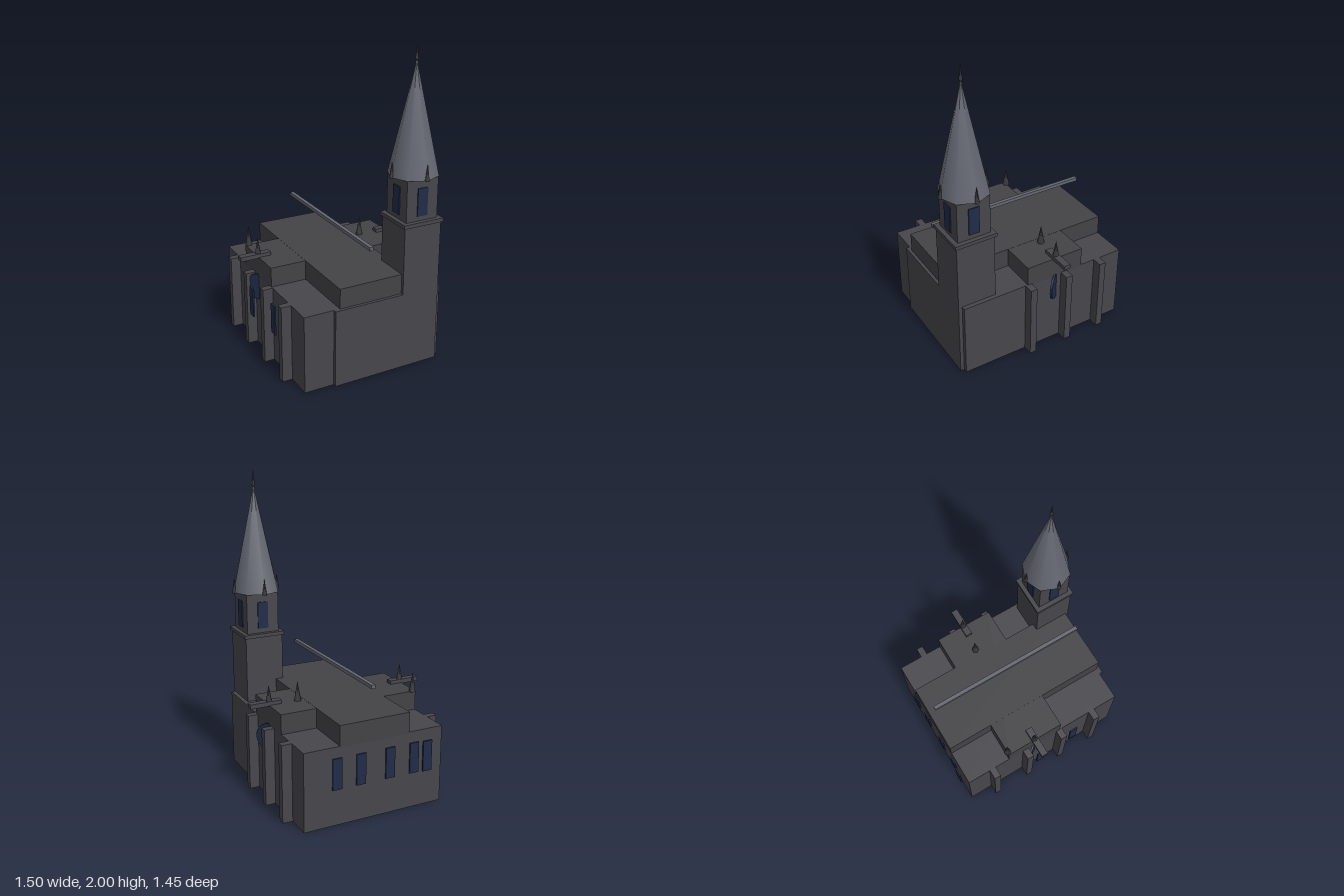
import * as THREE from 'three';

const mat = (name, color) => {
  const m = new THREE.MeshStandardMaterial({ color });
  m.name = name;
  return m;
};

export function createModel() {
  const stone = mat('wall stone', 0x47464b);
  const roof = mat('dark roof', 0x434346);
  const slate = mat('spire slate', 0x646771);
  const dark = mat('pinnacle stone', 0x38383a);
  const glass = mat('blue glass', 0x1f2b49);

  const model = new THREE.Group();
  model.name = 'church';

  // Everything is built along the nave, which is turned on the ground
  const church = new THREE.Group();
  church.name = 'turnedChurch';
  const turn = THREE.MathUtils.degToRad(-39);
  church.rotation.y = turn;
  model.add(church);

  const add = (name, geometry, material, x, y, z) => {
    const mesh = new THREE.Mesh(geometry, material);
    mesh.name = name;
    mesh.position.set(x, y, z);
    church.add(mesh);
    return mesh;
  };
  // Box given by its limits on each axis
  const box = (name, material, x0, x1, y0, y1, z0, z1) =>
    add(name, new THREE.BoxGeometry(x1 - x0, y1 - y0, z1 - z0), material,
      (x0 + x1) / 2, (y0 + y1) / 2, (z0 + z1) / 2);
  const spike = (name, material, x, y, z, r, h, sides) =>
    add(name, new THREE.ConeGeometry(r, h, sides), material, x, y + h / 2, z);

  // Main body, entrance front and raised cross-shaped roof
  box('body', stone, -0.585, 0.568, 0, 0.5, -0.468, 0.468);
  box('entranceFront', stone, 0.5, 0.592, 0, 0.5, -0.3, 0.275);
  box('naveRoof', roof, -0.586, 0.572, 0.49, 0.628, -0.235, 0.235);
  box('transeptRoof', roof, -0.277, 0.122, 0.49, 0.627, -0.469, 0.469);
  box('ridgeBeam', slate, -0.553, 0.527, 0.803, 0.826, -0.0125, 0.0125);

  // Buttresses: four on the front side, three behind
  const bays = [-0.403, -0.146, 0.116, 0.376];
  for (const side of [1, -1]) {
    for (const x of side > 0 ? bays : bays.slice(0, 3)) {
      add('buttress', new THREE.BoxGeometry(0.045, 0.5, 0.1), stone, x, 0.25, side * 0.483);
    }
    // Coping bar over each transept end
    add('transeptCoping', new THREE.BoxGeometry(0.045, 0.028, 0.205), stone, -0.08, 0.636, side * 0.49);
    // Round window, half sunk in the wall
    const rose = add('roseWindow', new THREE.CylinderGeometry(0.088, 0.088, 0.014, 20), glass,
      -0.083, 0.415, side * 0.466);
    rose.rotation.set(Math.PI / 2, 0, 0);
    rose.rotation.order = 'YXZ';
    rose.rotation.y = -turn;
  }

  // Roof pinnacles
  for (const [x, z] of [[-0.277, 0.445], [-0.082, 0.466], [-0.095, -0.277], [-0.082, -0.464]]) {
    spike('roofPinnacle', dark, x, 0.626, z, 0.024, 0.128, 6);
  }

  // Lancet windows on the front side and the chancel end
  for (const [x, z] of [[-0.06, 0.525], [0.217, 0.503]]) {
    add('sideWindow', new THREE.BoxGeometry(0.055, 0.197, 0.0095), glass, x, 0.332, z);
  }
  for (const [x, z] of [[-0.607, 0.353], [-0.596, 0.266], [-0.594, 0.1], [-0.594, -0.098], [-0.593, -0.256]]) {
    add('endWindow', new THREE.BoxGeometry(0.0095, 0.197, 0.062), glass, x, 0.332, z);
  }

  // Tower: shaft, cornice, belfry, spire and finial
  const tx = 0.465, tz = -0.313;
  add('towerShaft', new THREE.BoxGeometry(0.254, 0.94, 0.254), stone, tx, 0.47, tz);
  add('towerCornice', new THREE.BoxGeometry(0.274, 0.024, 0.274), stone, tx, 0.942, tz);
  add('belfry', new THREE.BoxGeometry(0.217, 0.27, 0.217), stone, tx, 1.085, tz);
  spike('spire', slate, tx, 1.215, tz, 0.156, 0.685, 8);
  spike('finial', dark, tx, 1.9, tz, 0.011, 0.1, 6);
  spike('finialBase', dark, tx, 1.875, tz, 0.011, 0.035, 6);

  // Belfry windows and pinnacles on the four sides
  for (let i = 0; i < 4; i++) {
    const a = i * Math.PI / 2;
    const dx = Math.sin(a), dz = Math.cos(a);
    const pane = add('belfryWindow', new THREE.BoxGeometry(0.07, 0.175, 0.0095), glass,
      tx + dx * 0.11, 1.072, tz + dz * 0.11);
    pane.rotation.y = a;
    spike('spirePinnacle', dark, tx + dx * 0.149, 1.212, tz + dz * 0.149, 0.016, 0.106, 6);
  }

  return model;
}
